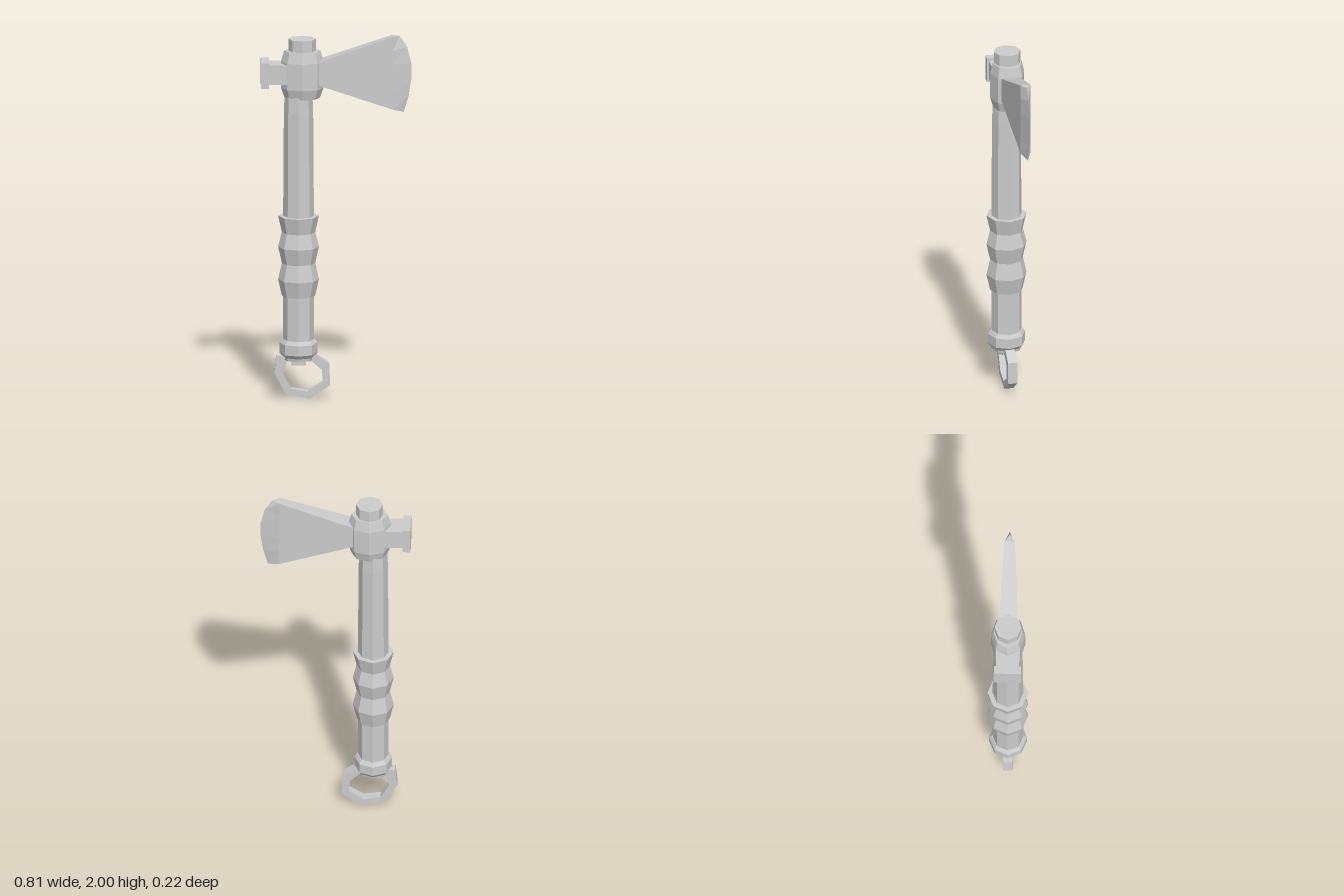
import * as THREE from 'three';

const AXIS = -0.205; // handle centre line
const HEAD = -0.185; // head centre line

export function createModel() {
  const group = new THREE.Group();
  const grey = new THREE.MeshStandardMaterial({ color: 0xcccccc, flatShading: true });
  grey.name = 'plain grey';

  const add = (name, geometry, x = 0, y = 0, z = 0) => {
    const mesh = new THREE.Mesh(geometry, grey);
    mesh.name = name;
    mesh.position.set(x, y, z);
    group.add(mesh);
    return mesh;
  };

  // Eight-sided solid from [radius, height] pairs, closed at both ends
  const turned = (name, profile, x) => {
    const points = [[0, profile[0][1]], ...profile, [0, profile.at(-1)[1]]];
    return add(name, new THREE.LatheGeometry(points.map(p => new THREE.Vector2(...p)), 8), x);
  };

  const box = (name, x0, x1, y0, y1, depth) =>
    add(name, new THREE.BoxGeometry(x1 - x0, y1 - y0, depth), (x0 + x1) / 2, (y0 + y1) / 2);

  // Handle
  turned('shaft', [[0.083, 0.3], [0.083, 1.01], [0.079, 1.58], [0.074, 1.7]], AXIS);
  turned('grip', [[0.09, 0.57], [0.11, 0.66], [0.09, 0.75], [0.11, 0.84], [0.09, 0.92], [0.11, 1.01]], AXIS);
  turned('pommel', [[0.082, 0.22], [0.085, 0.235], [0.102, 0.255], [0.102, 0.31], [0.088, 0.33]], AXIS);

  // Head collar, narrower front to back
  const collar = turned('headCollar', [[0.095, 1.66], [0.115, 1.715], [0.115, 1.86], [0.098, 1.92]], HEAD);
  collar.scale.z = 0.81;
  turned('topCap', [[0.073, 1.88], [0.073, 1.985]], HEAD);

  // Hammer poll
  box('pollNeck', -0.37, -0.24, 1.745, 1.85, 0.126);
  box('pollFace', -0.408, -0.365, 1.725, 1.865, 0.146);

  add('blade', bladeGeometry());

  // Lanyard ring and its mount
  box('ringMount', -0.245, -0.165, 0.19, 0.225, 0.055);
  const outline = list => list.map(p => new THREE.Vector2(...p));
  const ring = new THREE.Shape(outline([[-0.325, 0.24], [-0.335, 0.145], [-0.275, 0.035],
    [-0.145, 0.003], [-0.035, 0.08], [-0.04, 0.2], [-0.11, 0.245]]));
  ring.holes.push(new THREE.Path(outline([[-0.265, 0.215], [-0.292, 0.14], [-0.245, 0.06],
    [-0.155, 0.045], [-0.075, 0.095], [-0.08, 0.165], [-0.13, 0.21]])));
  add('lanyardRing', new THREE.ExtrudeGeometry(ring, { depth: 0.05, bevelEnabled: false }), 0, 0, -0.025);

  return group;
}

// Flared blade: horizontal sections stacked from the lower to the upper corner
function bladeGeometry() {
  const edge = [[0.362, 1.58], [0.388, 1.67], [0.402, 1.76], [0.402, 1.85], [0.38, 1.94], [0.34, 2.0]];
  const positions = [], index = [];
  const sides = 5, last = edge.length - 1;
  edge.forEach(([ex, ey], row) => {
    const t = row / last;
    const rootY = 1.745 + 0.11 * t, bevelY = 1.6 + 0.4 * t;
    positions.push(-0.12, rootY, 0.052, 0.3, bevelY, 0.028, ex, ey, 0,
      0.3, bevelY, -0.028, -0.12, rootY, -0.052);
    if (row === last) return;
    for (let i = 0; i < sides; i++) {
      const a = row * sides + i, b = row * sides + (i + 1) % sides;
      index.push(a, b, b + sides, a, b + sides, a + sides);
    }
  });
  // Upper and lower faces
  const top = last * sides;
  for (const [i, j, k] of [[1, 2, 3], [0, 1, 3], [0, 3, 4]]) {
    index.push(top + i, top + j, top + k, k, j, i);
  }
  const geometry = new THREE.BufferGeometry();
  geometry.setAttribute('position', new THREE.Float32BufferAttribute(positions, 3));
  geometry.setIndex(index);
  geometry.computeVertexNormals();
  return geometry;
}
